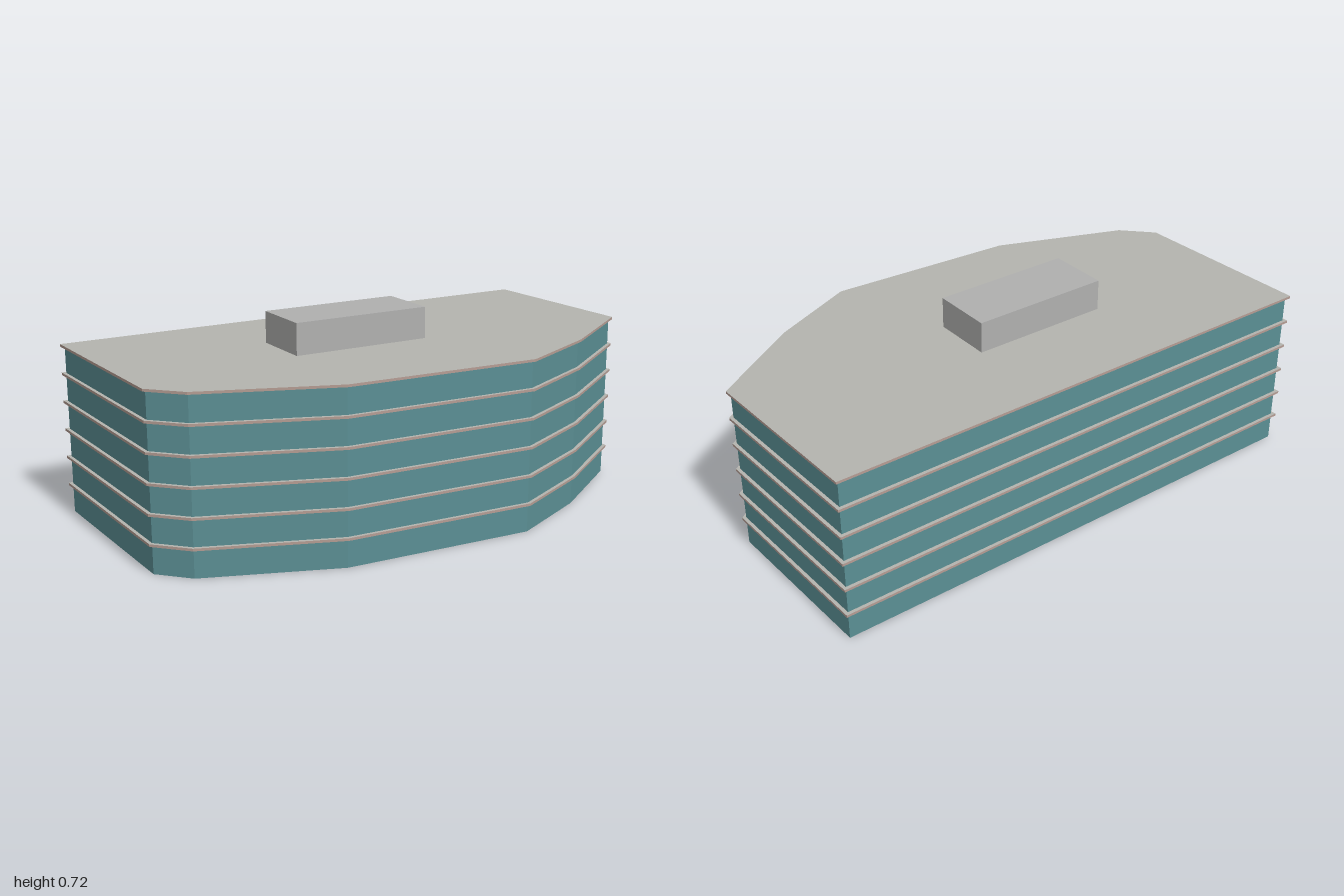
import * as THREE from 'three';

const glass = new THREE.MeshStandardMaterial({ color: 0x5b8f94, side: THREE.DoubleSide });
glass.name = 'teal glass';
const concrete = new THREE.MeshStandardMaterial({ color: 0xb4b4ae });
concrete.name = 'concrete grey';
const trim = new THREE.MeshStandardMaterial({ color: 0xb59d94 });
trim.name = 'slab edge rose';
const plant = new THREE.MeshStandardMaterial({ color: 0xb0b0af });
plant.name = 'plant room grey';

// Slab outline as [x, z], running left to right along the front
const OUTLINE = [
  [-1, -0.315], [-0.885, 0.367], [-0.77, 0.457], [-0.29, 0.567],
  [0.4, 0.515], [0.69, 0.33], [0.995, 0.06], [0.885, -0.572],
].map(([x, z]) => new THREE.Vector2(x, z));

const FLOORS = 6, STOREY = 0.101, SLAB = 0.009, OVERHANG = 0.012;

// Move every edge of the outline inward by d
function inset(points, d) {
  const n = points.length;
  const normal = (i) => {
    const e = points[(i + 1) % n].clone().sub(points[i % n]).normalize();
    return new THREE.Vector2(-e.y, e.x);
  };
  return points.map((p, i) => {
    const a = normal(i + n - 1), b = normal(i);
    return p.clone().addScaledVector(a.clone().add(b), -d / (1 + a.dot(b)));
  });
}

export function createModel() {
  const model = new THREE.Group();
  model.name = 'officeBlock';

  // Glass walls, open underneath: one panel per outline edge
  const walls = new THREE.Group();
  walls.name = 'walls';
  const height = FLOORS * STOREY;
  const footprint = inset(OUTLINE, OVERHANG);
  footprint.forEach((a, i) => {
    const b = footprint[(i + 1) % footprint.length];
    const panel = new THREE.Mesh(new THREE.PlaneGeometry(a.distanceTo(b), height), glass);
    panel.name = 'wallPanel';
    panel.position.set((a.x + b.x) / 2, height / 2, (a.y + b.y) / 2);
    panel.rotation.y = Math.atan2(a.y - b.y, b.x - a.x);
    walls.add(panel);
  });
  model.add(walls);

  // Thin projecting slabs at each storey; the highest is the roof
  const shape = new THREE.Shape(OUTLINE.map((p) => new THREE.Vector2(p.x, -p.y)));
  const slabGeometry = new THREE.ExtrudeGeometry(shape, { depth: SLAB, bevelEnabled: false });
  slabGeometry.rotateX(-Math.PI / 2);
  for (let i = 1; i <= FLOORS; i++) {
    const slab = new THREE.Mesh(slabGeometry, [concrete, trim]);
    slab.name = i === FLOORS ? 'roofSlab' : 'floorSlab';
    slab.position.y = i * STOREY - SLAB / 2;
    model.add(slab);
  }

  // Rooftop plant room, square to the rear wall
  const room = new THREE.Mesh(new THREE.BoxGeometry(0.51, 0.112, 0.224), plant);
  room.name = 'plantRoom';
  room.position.set(-0.0725, height + SLAB / 2 + 0.056, 0.021);
  room.rotation.y = 0.137;
  model.add(room);

  return model;
}
